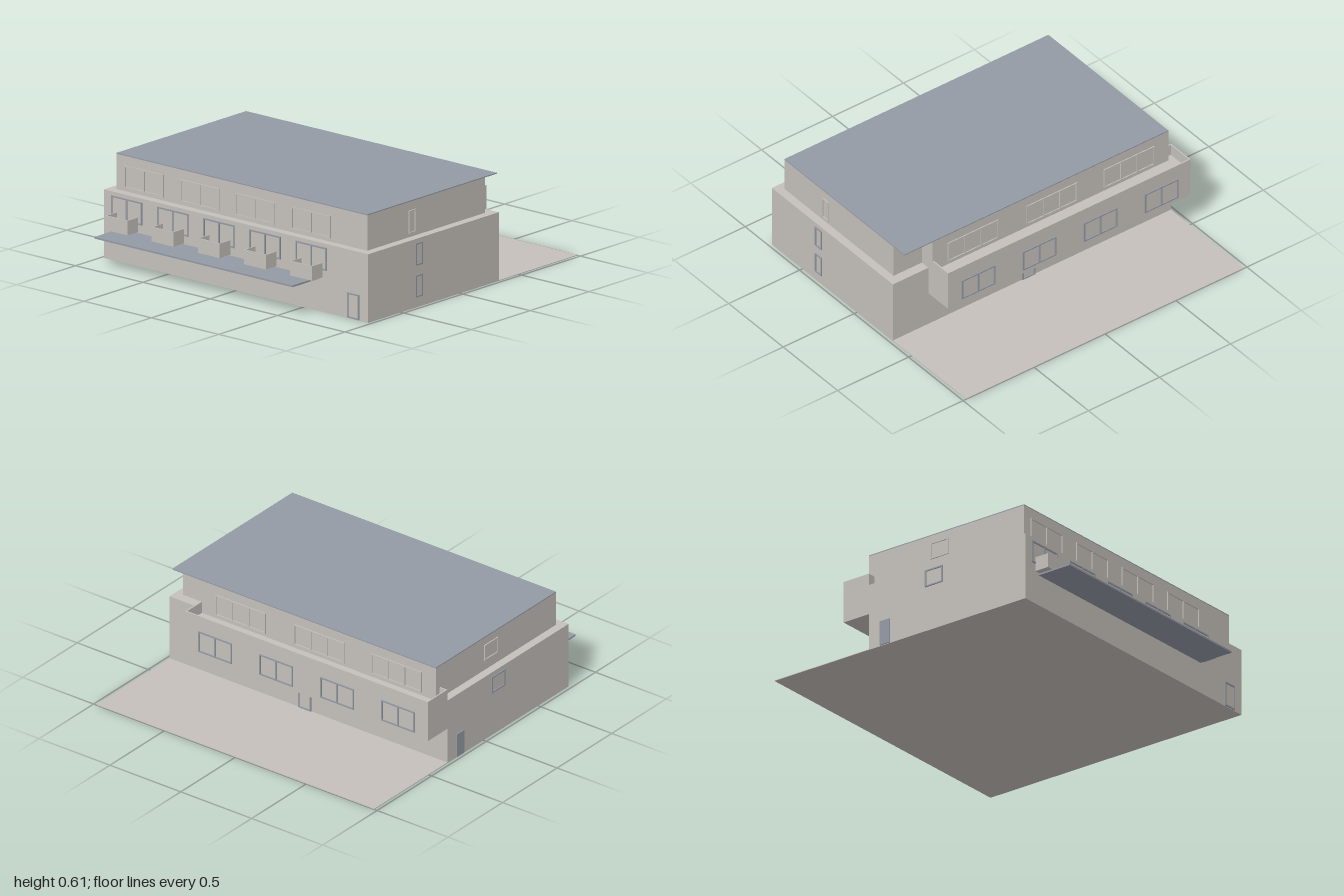
import * as THREE from 'three';

const wall = new THREE.MeshStandardMaterial({ color: 0xc5c0bb });
wall.name = 'warm grey wall';
const slate = new THREE.MeshStandardMaterial({ color: 0x949aa5 });
slate.name = 'blue grey';

// Box given by its limits on each axis
function block(parent, name, mat, [x0, x1], [y0, y1], [z0, z1]) {
  const mesh = new THREE.Mesh(new THREE.BoxGeometry(x1 - x0, y1 - y0, z1 - z0), mat);
  mesh.position.set((x0 + x1) / 2, (y0 + y1) / 2, (z0 + z1) / 2);
  mesh.name = name;
  parent.add(mesh);
  return mesh;
}

// Thin raised frame, drawn facing +z, with evenly spaced openings
function frame(name, mat, w, h, panes) {
  const t = 0.008, s = new THREE.Shape();
  const rect = (p, x0, y0, x1, y1) => p.moveTo(x0, y0).lineTo(x1, y0).lineTo(x1, y1).lineTo(x0, y1).closePath();
  rect(s, -w / 2, 0, w / 2, h);
  const pane = (w - t * (panes + 1)) / panes;
  for (let i = 0; i < panes; i++) {
    const x = -w / 2 + t + i * (pane + t), hole = new THREE.Path();
    rect(hole, x, t, x + pane, h - t);
    s.holes.push(hole);
  }
  const mesh = new THREE.Mesh(new THREE.ExtrudeGeometry(s, { depth: 0.006, bevelEnabled: false }), mat);
  mesh.name = name;
  return mesh;
}

const TURN = { front: 0, right: Math.PI / 2, back: Math.PI, left: -Math.PI / 2 };

// Put a frame on a wall: a0..a1 runs along the wall, d is the wall plane
function opening(parent, name, side, d, [a0, a1], [y0, y1], panes = 1, mat = slate) {
  const mesh = frame(name, mat, a1 - a0, y1 - y0, panes);
  const mid = (a0 + a1) / 2;
  if (side === 'front' || side === 'back') mesh.position.set(mid, y0, d);
  else mesh.position.set(d, y0, mid);
  mesh.rotation.y = TURN[side];
  parent.add(mesh);
}

export function createModel() {
  const g = new THREE.Group();
  g.name = 'building';

  // Ground and main volumes
  block(g, 'groundSlab', wall, [-0.98, 0.98], [0, 0.004], [-1, 0.78]);
  block(g, 'lowerFloors', wall, [-0.98, 0.98], [0.004, 0.4], [-0.33, 0.78]);
  block(g, 'upperFloor', wall, [-0.93, 0.93], [0.4, 0.606], [-0.27, 0.73]);
  block(g, 'upperFloorRear', wall, [-0.93, 0.73], [0.4, 0.606], [-0.37, -0.27]);
  block(g, 'roof', slate, [-0.93, 0.93], [0.606, 0.612], [-0.37, 0.73]);

  // Rear overhang carrying a terrace with a parapet
  block(g, 'rearOverhang', wall, [-0.98, 0.73], [0.22, 0.4], [-0.51, -0.33]);
  block(g, 'rearParapet', wall, [-0.98, 0.73], [0.4, 0.47], [-0.51, -0.502]);
  block(g, 'rightParapet', wall, [-0.98, -0.972], [0.4, 0.47], [-0.502, -0.33]);
  block(g, 'leftParapet', wall, [0.722, 0.73], [0.4, 0.47], [-0.502, -0.37]);
  block(g, 'parapetReturn', wall, [-0.972, -0.93], [0.4, 0.47], [-0.338, -0.33]);

  // Entrance canopy
  block(g, 'canopy', slate, [-0.86, 0.61], [0.185, 0.195], [0.78, 1]);

  // Front windows with open balconies
  for (let i = 0; i < 5; i++) {
    const x = -0.925 + i * 0.3425;
    opening(g, 'balconyWindow', 'front', 0.78, [x, x + 0.23], [0.245, 0.377], 2);
    const b = new THREE.Group();
    b.name = 'balcony';
    const l = x + 0.035, r = x + 0.197, t = 0.006;
    block(b, 'balconyFloor', wall, [l, r], [0.2, 0.21], [0.78, 0.87]);
    block(b, 'balconyFront', wall, [l, r], [0.21, 0.285], [0.87 - t, 0.87]);
    block(b, 'balconySide', wall, [l, l + t], [0.21, 0.285], [0.78, 0.87 - t]);
    block(b, 'balconySide', wall, [r - t, r], [0.21, 0.285], [0.78, 0.87 - t]);
    g.add(b);
  }

  // Upper front windows
  for (let i = 0; i < 4; i++) {
    const x = -0.87 + i * 0.413;
    opening(g, 'upperFrontWindow', 'front', 0.73, [x, x + 0.29], [0.42, 0.55], 2, wall);
  }

  // Rear windows
  for (let i = 0; i < 4; i++) {
    const x = -0.89 + i * 0.43;
    opening(g, 'rearWindow', 'back', -0.51, [x, x + 0.235], [0.245, 0.375], 2);
  }
  for (const x of [-0.83, -0.285, 0.27]) {
    opening(g, 'upperRearWindow', 'back', -0.37, [x, x + 0.355], [0.42, 0.55], 3, wall);
  }

  // Side windows
  opening(g, 'leftWindow', 'right', 0.98, [0.32, 0.38], [0.06, 0.188]);
  opening(g, 'leftWindow', 'right', 0.98, [0.32, 0.38], [0.245, 0.375]);
  opening(g, 'upperLeftWindow', 'right', 0.93, [0.32, 0.38], [0.42, 0.555], 1, wall);
  opening(g, 'rightWindow', 'left', -0.98, [0.07, 0.195], [0.27, 0.372]);
  opening(g, 'upperRightWindow', 'left', -0.93, [0.07, 0.195], [0.46, 0.56], 1, wall);

  // Doors
  opening(g, 'frontDoorFrame', 'front', 0.78, [0.828, 0.915], [0.004, 0.15]);
  opening(g, 'rearDoorFrame', 'back', -0.33, [-0.02, 0.07], [0.004, 0.15]);
  block(g, 'sideDoor', slate, [-0.986, -0.98], [0.004, 0.15], [-0.25, -0.18]);

  return g;
}
